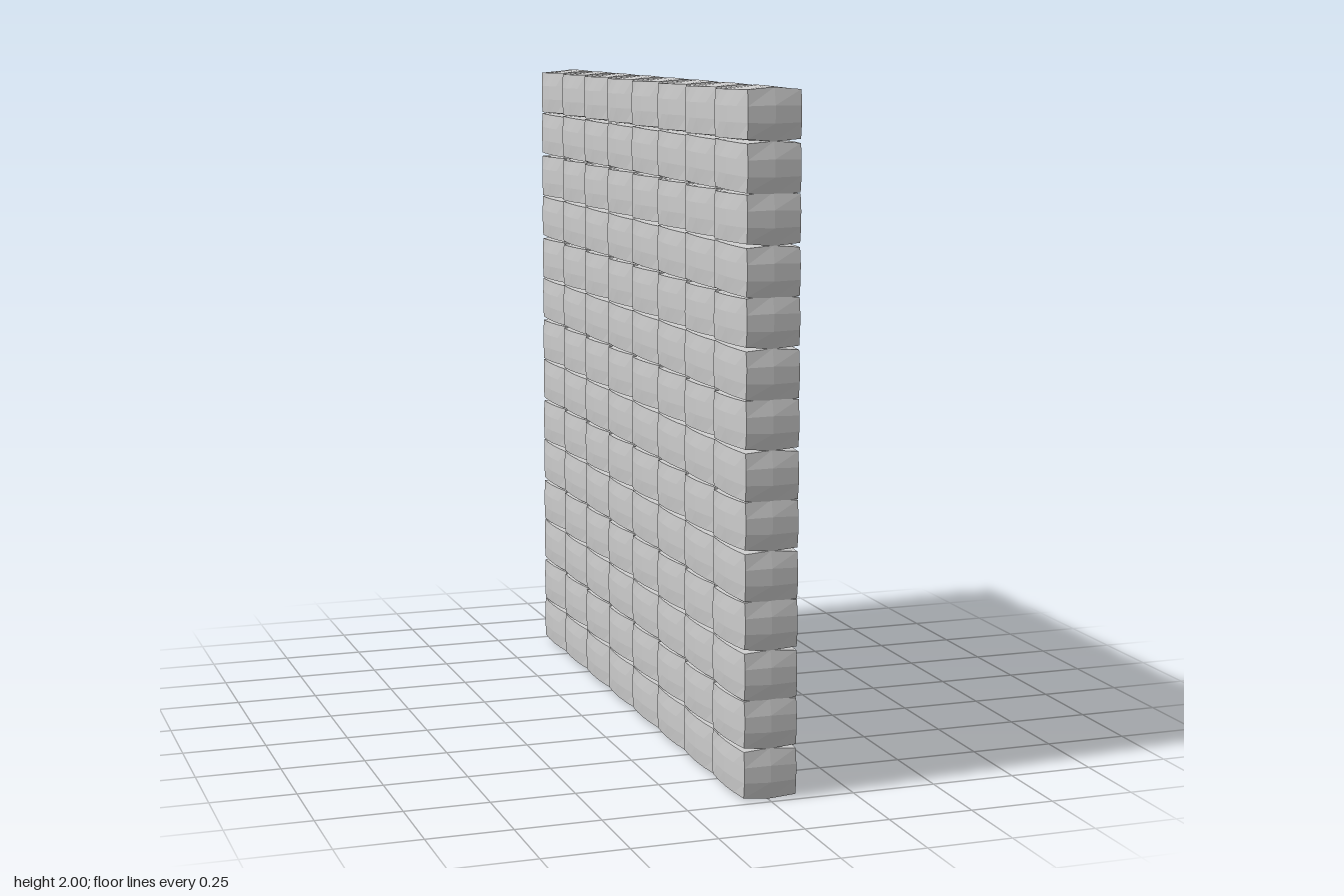
import * as THREE from 'three';

const COLS = 8, ROWS = 14;
const PITCH_Z = 0.2455, PITCH_Y = 0.1417;

// One rough stone: a box whose faces bulge, with a slight skew so it looks hand cut
function stoneGeometry() {
  const hx = 0.077, hy = 0.067, hz = 0.118;
  const geo = new THREE.BoxGeometry(2, 2, 2, 2, 3, 4);
  const p = geo.attributes.position;
  const swell = (a, b) => (1 - a * a) * (1 - 0.4 * b * b);
  for (let i = 0; i < p.count; i++) {
    const x = p.getX(i), y = p.getY(i), z = p.getZ(i);
    p.setXYZ(i,
      x * (hx + 0.013 * swell(z, y)) + 0.003 * z,
      y * (hy + 0.011 * swell(x, z)) - 0.002 * z,
      z * (hz + 0.011 * swell(y, x)) + 0.003 * x);
  }
  geo.computeVertexNormals();
  return geo;
}

export function createModel() {
  const wall = new THREE.Group();
  wall.name = 'stoneWall';
  const geo = stoneGeometry();
  const mat = new THREE.MeshStandardMaterial({ color: 0xcccccc, flatShading: true });

  // Stacked courses, every second one turned end for end
  for (let r = 0; r < ROWS; r++) {
    const course = new THREE.Group();
    course.name = 'course' + (r + 1);
    course.position.y = 0.079 + r * PITCH_Y;
    for (let c = 0; c < COLS; c++) {
      const stone = new THREE.Mesh(geo, mat);
      stone.name = 'stone';
      stone.position.z = (c - (COLS - 1) / 2) * PITCH_Z;
      stone.rotation.y = r % 2 ? Math.PI : 0;
      course.add(stone);
    }
    wall.add(course);
  }
  return wall;
}
